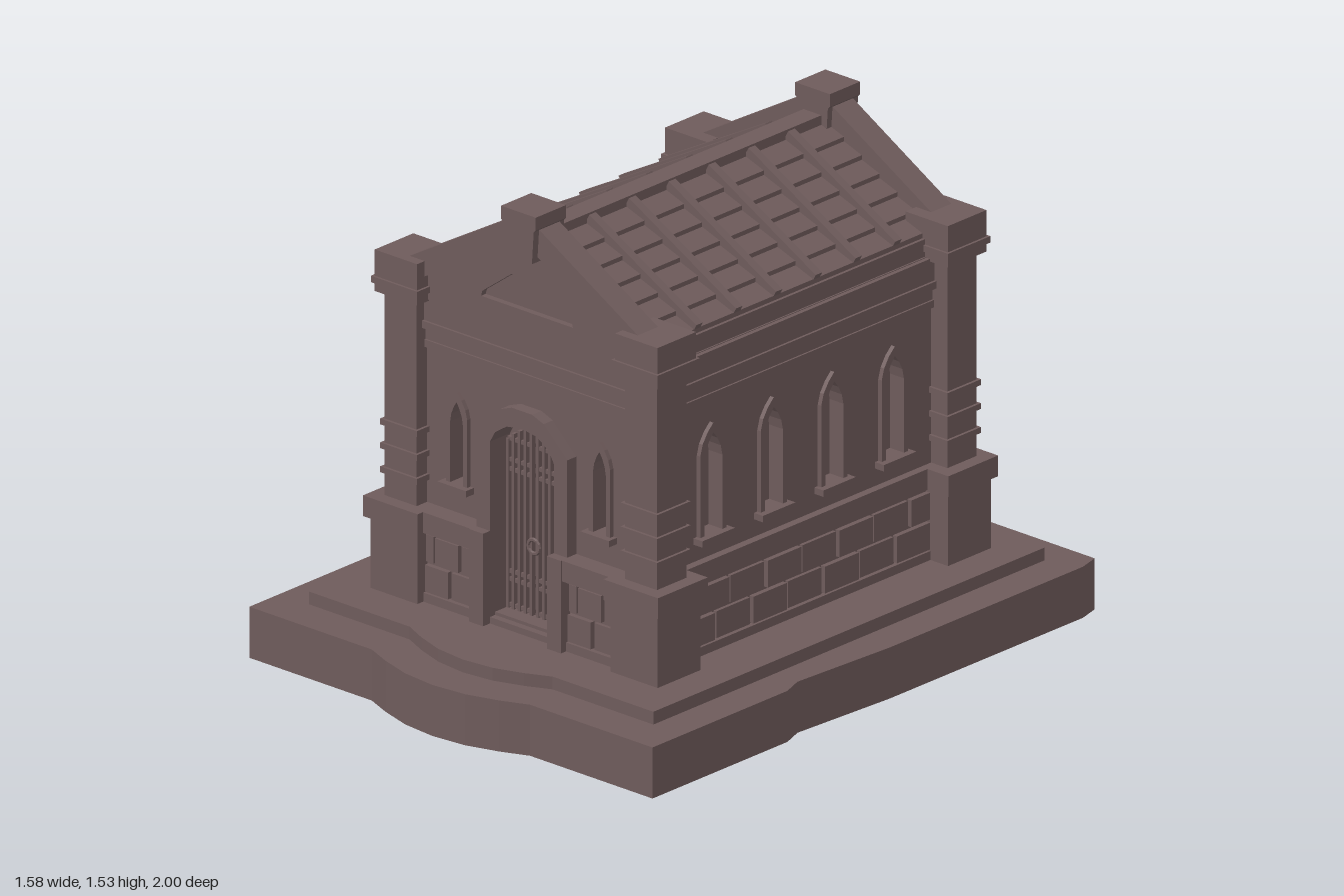
import * as THREE from 'three';

const stone = new THREE.MeshStandardMaterial({ color: 0x6e5b5b, flatShading: true, side: THREE.DoubleSide });
stone.name = 'weathered stone';

function add(parent, name, geo, x = 0, y = 0, z = 0) {
  const m = new THREE.Mesh(geo, stone);
  m.name = name;
  m.position.set(x, y, z);
  parent.add(m);
  return m;
}

// Box given by its min and max on each axis
const box = (parent, name, x0, x1, y0, y1, z0, z1) =>
  add(parent, name, new THREE.BoxGeometry(x1 - x0, y1 - y0, z1 - z0), (x0 + x1) / 2, (y0 + y1) / 2, (z0 + z1) / 2);

const poly = (pts) => new THREE.Shape(pts.map(([x, y]) => new THREE.Vector2(x, y)));

// Outline made from its right half, listed from bottom to top
const mirrored = (half) => [...half, ...half.filter(([x]) => x !== 0).reverse().map(([x, y]) => [-x, y])];

function slab(parent, name, shape, holes, z0, z1) {
  shape.holes.push(...holes);
  return add(parent, name, new THREE.ExtrudeGeometry(shape, { depth: z1 - z0, bevelEnabled: false }), 0, 0, z0);
}

// Pointed window outline
function lancet(cx, w, y0, y1) {
  const h = y1 - y0, s = y0 + h * 0.74;
  return mirrored([[w, y0], [w, s], [w * 0.82, s + h * 0.1], [w * 0.45, s + h * 0.19], [0, y1]]).map(([x, y]) => [x + cx, y]);
}

const doorway = mirrored([[0.125, 0.22], [0.125, 0.77], [0.105, 0.805], [0.06, 0.835], [0, 0.845]]);

// Open-bottomed step: side walls plus a top with an optional hole
function step(parent, name, outline, hole, y0, y1) {
  const p = [];
  outline.forEach(([ax, az], i) => {
    const [bx, bz] = outline[(i + 1) % outline.length];
    p.push(ax, y0, -az, bx, y0, -bz, bx, y1, -bz, ax, y0, -az, bx, y1, -bz, ax, y1, -az);
  });
  const walls = new THREE.BufferGeometry();
  walls.setAttribute('position', new THREE.Float32BufferAttribute(p, 3));
  walls.computeVertexNormals();
  add(parent, name + 'Walls', walls);
  const top = poly(outline);
  if (hole) top.holes.push(poly(hole));
  add(parent, name + 'Top', new THREE.ShapeGeometry(top).rotateX(-Math.PI / 2), 0, y1, 0);
}

// One wall in a local frame: x along the wall, z outward
function buildWall(g, o) {
  const { d, half, base, sill, windows, door } = o;
  const holes = windows.map((x) => poly(lancet(x, o.w - 0.017, o.y0, o.y1 - 0.03)));
  if (door) holes.push(poly(doorway));
  slab(g, 'wall', poly([[-half, 0.2], [half, 0.2], [half, 1.14], [-half, 1.14]]), holes, d - 0.045, d);

  for (const x of windows) {
    slab(g, 'windowFrame', poly(lancet(x, o.w, o.y0, o.y1)), [poly(lancet(x, o.w - 0.017, o.y0, o.y1 - 0.03))], d, d + 0.014);
    box(g, 'windowSill', x - o.w - 0.014, x + o.w + 0.014, o.y0 - 0.02, o.y0, d, d + 0.035);
  }

  // Stepped cornice
  for (const [a, b, out] of [[0.98, 1.003, 0.012], [1.003, 1.042, 0.006], [1.042, 1.065, 0.022], [1.065, 1.138, 0.014]])
    box(g, 'corniceBand', -half, half, a, b, d - 0.02, d + out);

  // Base course, interrupted by the door, with raised masonry
  const spans = door ? [[-half, -0.18], [0.18, half]] : [[-half, half]];
  for (const [a, b] of spans) {
    box(g, 'baseCourse', a, b, 0.2, 0.425, d - 0.02, base - 0.018);
    box(g, 'baseFoot', a, b, 0.2, 0.228, d - 0.02, base);
    box(g, 'baseSill', a, b, 0.425, 0.49, d - 0.02, sill);
    const lo = Math.max(a, -o.block), hi = Math.min(b, o.block);
    const n = Math.max(2, Math.round((hi - lo) / 0.15));
    const pitch = (hi - lo) / n;
    for (let row = 0; row < 2; row++) {
      const y = 0.232 + row * 0.094;
      for (let i = 0; i <= n; i++) {
        const x0 = Math.max(lo, lo + (i - (row ? 0.6 : 0)) * pitch), x1 = Math.min(hi, lo + (i + 1 - (row ? 0.6 : 0)) * pitch);
        if (x1 - x0 > 0.02) box(g, 'masonryBlock', x0 + 0.005, x1 - 0.005, y, y + 0.084, base - 0.02, base - 0.002 - 0.005 * ((i + row) % 2));
      }
    }
  }
}

function buildGable(g) {
  // Parapet with a sunken panel, raking trim and a tapered finial
  const outer = mirrored([[0.45, 1.135], [0.45, 1.258], [0, 1.518]]);
  const panel = mirrored([[0.18, 1.205], [0.175, 1.222], [0.06, 1.307]]);
  slab(g, 'gable', poly(outer), [], 0.587, 0.64);
  slab(g, 'gableFace', poly(outer), [poly(panel)], 0.64, 0.66);
  for (const s of [-1, 1])
    slab(g, 'rakingTrim', poly([[s * 0.45, 1.258], [s * 0.45, 1.178], [0, 1.425], [0, 1.518]]), [], 0.655, 0.674);
  slab(g, 'finial', poly(mirrored([[0.053, 1.38], [0.06, 1.482], [0.068, 1.49], [0.068, 1.53]])), [], 0.567, 0.697);
}

function buildDoor(g) {
  const surround = mirrored([[0.177, 0.2], [0.177, 0.795], [0.085, 0.883], [0.04, 0.9]]);
  slab(g, 'doorSurround', poly(surround), [poly(doorway)], 0.64, 0.682);
  for (const s of [-1, 1]) {
    box(g, 'doorPedestal', s * 0.1525 - 0.0275, s * 0.1525 + 0.0275, 0.2, 0.49, 0.64, 0.712);
    // Barred gate leaf
    [0.012, 0.036, 0.06, 0.084, 0.105].forEach((x, i) =>
      box(g, 'gateBar', s * x - 0.005, s * x + 0.005, 0.24, [0.825, 0.815, 0.805, 0.79, 0.77][i], 0.615, 0.63));
    for (const y of [0.25, 0.33, 0.355, 0.675, 0.705, 0.77])
      box(g, 'gateRail', s * 0.058 - 0.05, s * 0.058 + 0.05, y - 0.006, y + 0.006, 0.613, 0.626);
  }
  add(g, 'gateLockRing', new THREE.TorusGeometry(0.022, 0.006, 6, 12), 0, 0.46, 0.63);
  box(g, 'threshold', -0.125, 0.125, 0.2, 0.23, 0.59, 0.66);
}

function buildPier(g) {
  for (const [name, h, a, b] of [
    ['pierBase', 0.092, 0.2, 0.425], ['pierBaseCap', 0.107, 0.425, 0.49], ['pierShaft', 0.063, 0.49, 1.14],
    ['pierBand', 0.072, 0.562, 0.58], ['pierBand', 0.072, 0.637, 0.655], ['pierBand', 0.072, 0.712, 0.73],
    ['pierCapital', 0.083, 1.13, 1.26], ['pierCapitalBand', 0.091, 1.158, 1.178],
  ]) box(g, name, -h, h, a, b, -h, h);
}

function buildRoofSide(g) {
  // Overlapping tile courses as a saw-toothed section
  const slopeY = (x) => 1.425 - (x - 0.035) * 0.545;
  const pts = [[0, 1.15], [0, 1.425], [0.035, 1.425]];
  for (let i = 1; i <= 6; i++) {
    const x = 0.035 + i * 0.07;
    pts.push([x, slopeY(x) + 0.014], [x, slopeY(x)]);
  }
  pts.push([0.455, 1.15]);
  slab(g, 'roofTiles', poly(pts), [], -0.59, 0.59);
  for (let i = 0; i < 6; i++) {
    const rib = add(g, 'roofRib', new THREE.BoxGeometry(0.478, 0.04, 0.028), 0.245, slopeY(0.245) + 0.012, (i - 2.5) * 0.171);
    rib.rotation.z = -Math.atan(0.545);
  }
}

export function createModel() {
  const model = new THREE.Group();
  model.name = 'stoneMausoleum';

  // Stepped podium with a bowed front and worn right edge (outlines use x, -z)
  const bow = (w, z, out) => [[-w, 0], [-w * 0.72, 0.45], [-w * 0.38, 0.85], [0, 1], [w * 0.38, 0.85], [w * 0.72, 0.45], [w, 0]].map(([x, k]) => [x, -z - out * k]);
  const upper = [[-0.675, -0.79], ...bow(0.28, 0.79, 0.08), [0.675, -0.79], [0.675, 0.89], [-0.675, 0.89]];
  const lower = [[-0.79, -0.92], ...bow(0.31, 0.92, 0.08), [0.79, -0.92], [0.79, -0.34], [0.765, -0.27], [0.788, 0.1], [0.79, 0.93], [0.772, 1], [-0.79, 1]];
  step(model, 'podiumLower', lower, upper, 0, 0.16);
  step(model, 'podiumUpper', upper, null, 0.16, 0.2);

  const house = new THREE.Group();
  house.name = 'house';
  house.position.z = -0.067;
  model.add(house);
  box(house, 'innerCore', -0.43, 0.43, 0.201, 1.15, -0.597, 0.597);
  box(house, 'eavesCourse', -0.465, 0.465, 1.135, 1.195, -0.63, 0.63);

  const end = { d: 0.642, half: 0.47, base: 0.69, sill: 0.708, block: 0.38, w: 0.042, y0: 0.585, y1: 0.872 };
  const flank = { d: 0.47, half: 0.642, base: 0.494, sill: 0.496, block: 0.54, w: 0.056, y0: 0.565, y1: 0.91, windows: [-0.39, -0.13, 0.13, 0.39] };
  const sides = [
    ['frontWall', 0, { ...end, windows: [-0.28, 0.28], door: true }],
    ['leftWall', 1, flank],
    ['backWall', 2, { ...end, windows: [-0.28, 0, 0.28] }],
    ['rightWall', 3, flank],
  ];
  for (const [name, turn, options] of sides) {
    const g = new THREE.Group();
    g.name = name;
    g.rotation.y = turn * Math.PI / 2;
    buildWall(g, options);
    if (turn % 2 === 0) buildGable(g);
    if (options.door) buildDoor(g);
    house.add(g);
  }

  // Corner piers
  for (const sx of [-1, 1]) for (const sz of [-1, 1]) {
    const g = new THREE.Group();
    g.name = 'cornerPier';
    g.position.set(sx * 0.471, 0, sz * 0.624);
    buildPier(g);
    house.add(g);
  }

  // Roof
  for (let i = 0; i < 2; i++) {
    const g = new THREE.Group();
    g.name = 'roofSlope';
    g.rotation.y = i * Math.PI;
    buildRoofSide(g);
    house.add(g);
  }
  box(house, 'ridgeCap', -0.035, 0.035, 1.4, 1.455, -0.59, 0.59);
  return model;
}
